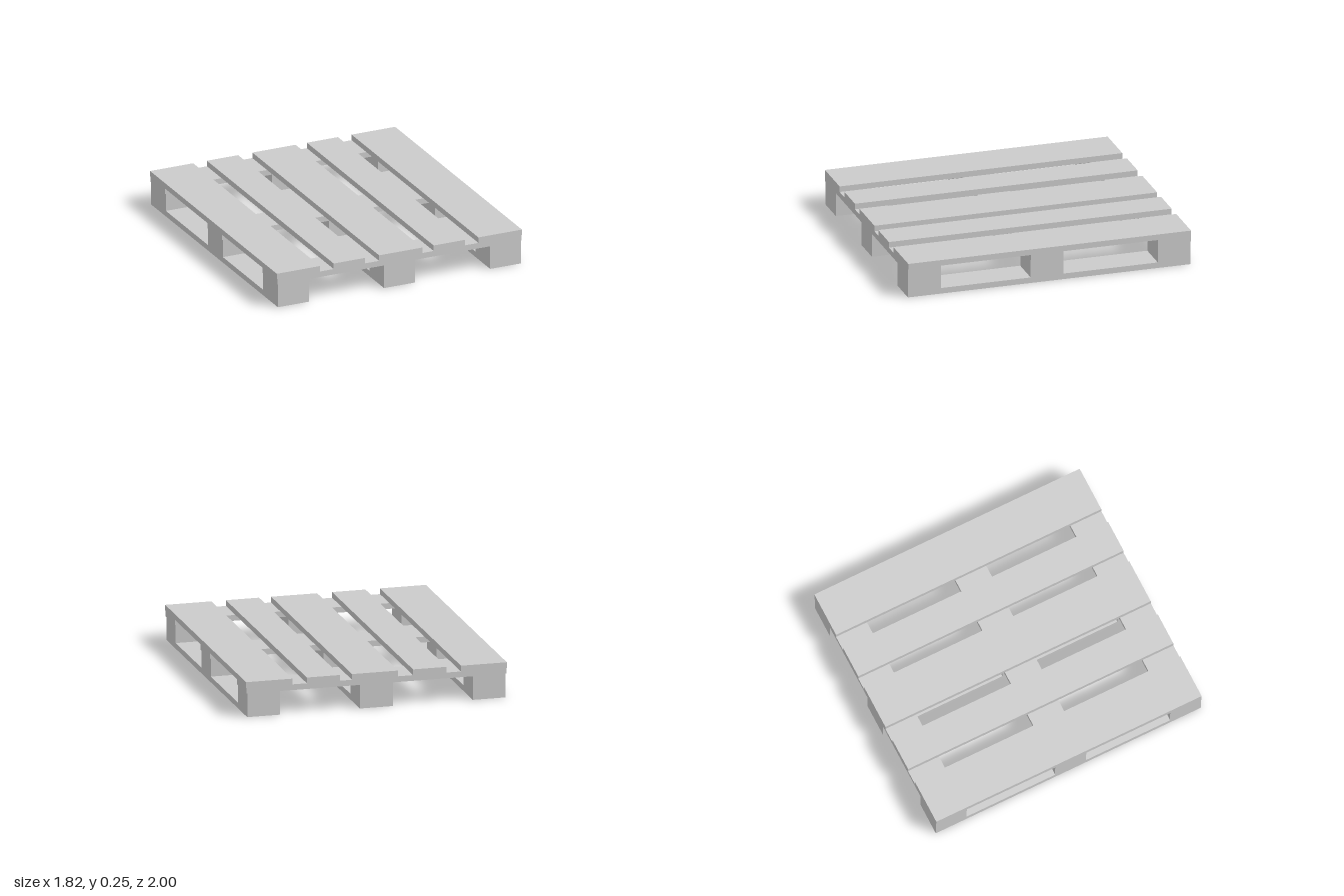
import * as THREE from 'three';

export function createModel() {
  const group = new THREE.Group();
  const material = new THREE.MeshStandardMaterial({ color: 0xcccccc, flatShading: true });

  // Box given by its extents on each axis
  const plank = (name, [x0, x1], [y0, y1], [z0, z1]) => {
    const mesh = new THREE.Mesh(new THREE.BoxGeometry(x1 - x0, y1 - y0, z1 - z0), material);
    mesh.position.set((x0 + x1) / 2, (y0 + y1) / 2, (z0 + z1) / 2);
    mesh.name = name;
    group.add(mesh);
  };

  // Heights of the four layers
  const runnerY = [0, 0.04], blockY = [0.04, 0.165], crossY = [0.165, 0.205], deckY = [0.205, 0.245];
  const fullZ = [-1, 1];
  const columns = [[-0.905, -0.675], [-0.115, 0.115], [0.675, 0.903]];
  const rows = [[-1, -0.767], [-0.1, 0.132], [0.767, 1]];
  const deck = [[-0.913, -0.592], [-0.49, -0.257], [-0.152, 0.17], [0.254, 0.486], [0.587, 0.911]];

  // Deck boards, running front to back
  deck.forEach((x, i) => plank(`deckBoard${i + 1}`, x, deckY, fullZ));

  // Cross boards under the deck
  rows.forEach((z, i) => plank(`crossBoard${i + 1}`, [-0.91, 0.908], crossY, z));

  // Bottom runners, each carrying three spacer blocks
  columns.forEach((x, i) => {
    plank(`bottomRunner${i + 1}`, x, runnerY, fullZ);
    rows.forEach((z, j) => plank(`spacerBlock${i * 3 + j + 1}`, x, blockY, z));
  });

  return group;
}
